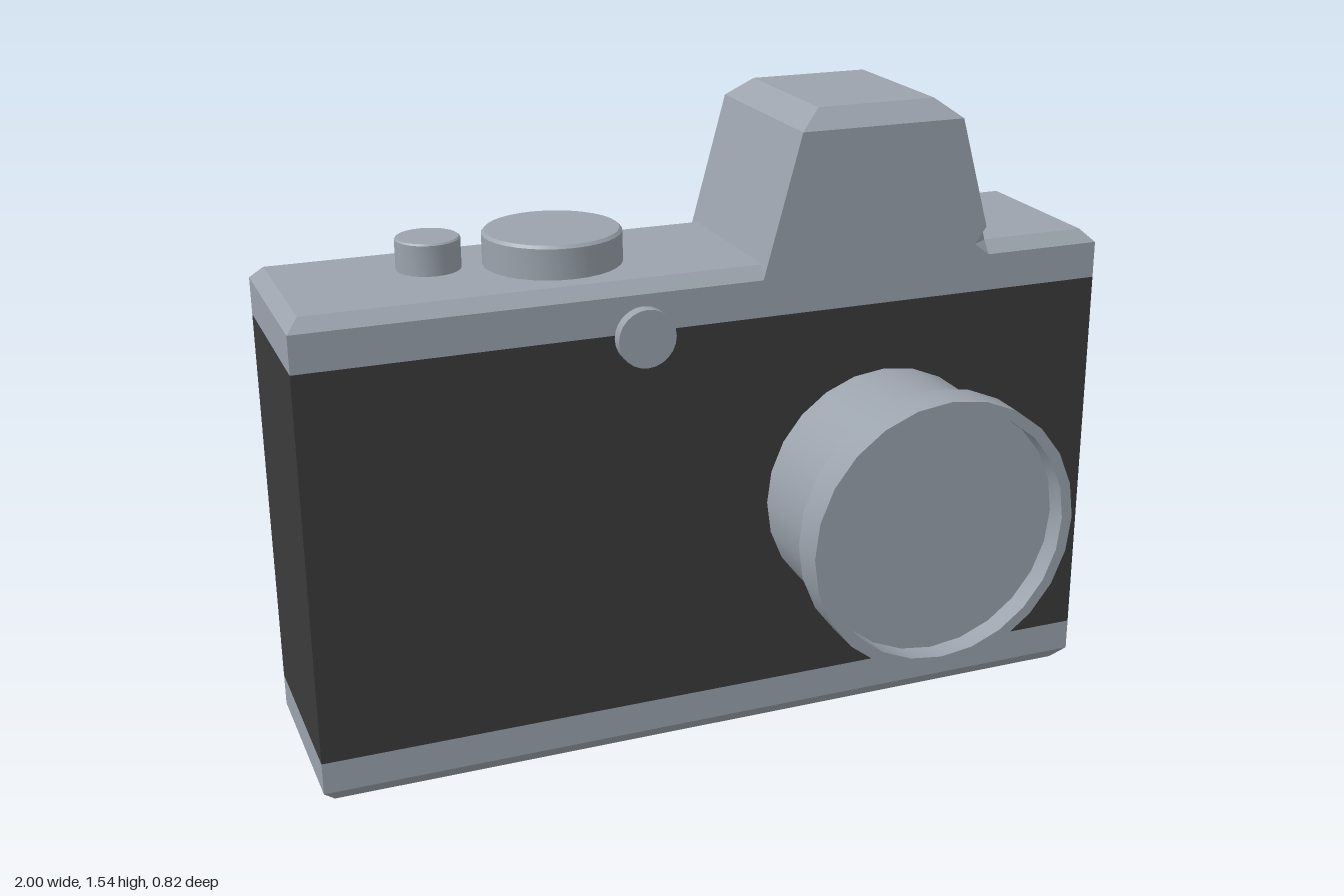
import * as THREE from 'three';
import { toCreasedNormals } from 'three/addons/utils/BufferGeometryUtils.js';

const BACK = -0.41, FRONT = 0.062;

export function createModel() {
  const model = new THREE.Group();
  model.name = 'camera';
  const silver = new THREE.MeshStandardMaterial({ color: 0x9ba3ad });
  silver.name = 'silver metal';
  const leather = new THREE.MeshStandardMaterial({ color: 0x3b3b3b });
  leather.name = 'dark leather';

  const add = (name, geometry, material = silver) => {
    const mesh = new THREE.Mesh(geometry, material);
    mesh.name = name;
    model.add(mesh);
    return mesh;
  };

  // Box between two heights, full body depth, with separate insets at bottom and top
  const slab = (x0, x1, y0, y1, insetBottom = 0, insetTop = 0, insetZ = insetTop) => {
    const g = new THREE.BoxGeometry(2, 2, 2).toNonIndexed();
    const p = g.attributes.position;
    for (let i = 0; i < p.count; i++) {
      const top = p.getY(i) > 0;
      const ix = top ? insetTop : insetBottom;
      const iz = top ? insetZ : insetBottom;
      p.setXYZ(i, p.getX(i) > 0 ? x1 - ix : x0 + ix, top ? y1 : y0,
        p.getZ(i) > 0 ? FRONT - iz : BACK + iz);
    }
    g.computeVertexNormals();
    return g;
  };

  // Body bands
  add('bottomBevel', slab(-1, 1, 0, 0.035, 0.03));
  add('bottomBand', slab(-1, 1, 0.035, 0.115));
  add('leatherBody', slab(-1, 1, 0.115, 1.07), leather);
  add('topBand', slab(-1, 1, 1.07, 1.16));
  add('topBevel', slab(-1, 1, 1.16, 1.19, 0, 0.03));

  // Viewfinder housing: tapered outline with a small notch at its outer foot
  const outline = [[0.105, 1.16], [0.7, 1.16], [0.66, 1.19], [0.69, 1.23], [0.615, 1.5], [0.2, 1.5]];
  const shape = new THREE.Shape(outline.map(([x, y]) => new THREE.Vector2(x, y)));
  const housing = new THREE.ExtrudeGeometry(shape, { depth: 3, steps: 3, bevelEnabled: false });
  const layers = [BACK, BACK + 0.025, FRONT - 0.025, FRONT];
  const p = housing.attributes.position;
  for (let i = 0; i < p.count; i++) {
    const layer = Math.round(p.getZ(i));
    const isNotch = Math.abs(p.getX(i) - 0.66) < 0.001;
    if (isNotch && (layer === 1 || layer === 2)) p.setX(i, 0.7);
    p.setZ(i, layers[layer]);
  }
  housing.computeVertexNormals();
  add('viewfinderHousing', housing);
  add('viewfinderCap', slab(0.2, 0.615, 1.5, 1.545, 0, 0.058, 0.045));

  // Turned parts: profile of [radius, height]
  const turned = (name, profile, sides) => {
    const g = new THREE.LatheGeometry(profile.map(([r, y]) => new THREE.Vector2(r, y)), sides);
    return add(name, toCreasedNormals(g, 0.5));
  };

  // Lens barrel with a wider, recessed rim
  const lens = turned('lens', [
    [0.305, 0], [0.305, 0.258], [0.337, 0.258], [0.337, 0.348],
    [0.31, 0.348], [0.31, 0.293], [0, 0.293],
  ], 24);
  lens.rotation.x = Math.PI / 2;
  lens.position.set(0.425, 0.597, FRONT);

  // Top controls
  const dial = turned('dial', [[0.165, 0], [0.165, 0.073], [0.158, 0.08], [0, 0.08]], 32);
  dial.position.set(-0.33, 1.19, -0.18);
  const button = turned('shutterButton', [[0.076, 0], [0.076, 0.072], [0.072, 0.076], [0, 0.076]], 24);
  button.position.set(-0.615, 1.19, -0.23);

  // Front knob
  const knob = turned('frontKnob', [[0.07, 0], [0.07, 0.03], [0, 0.03]], 24);
  knob.rotation.x = Math.PI / 2;
  knob.position.set(-0.193, 1.062, FRONT);

  return model;
}
